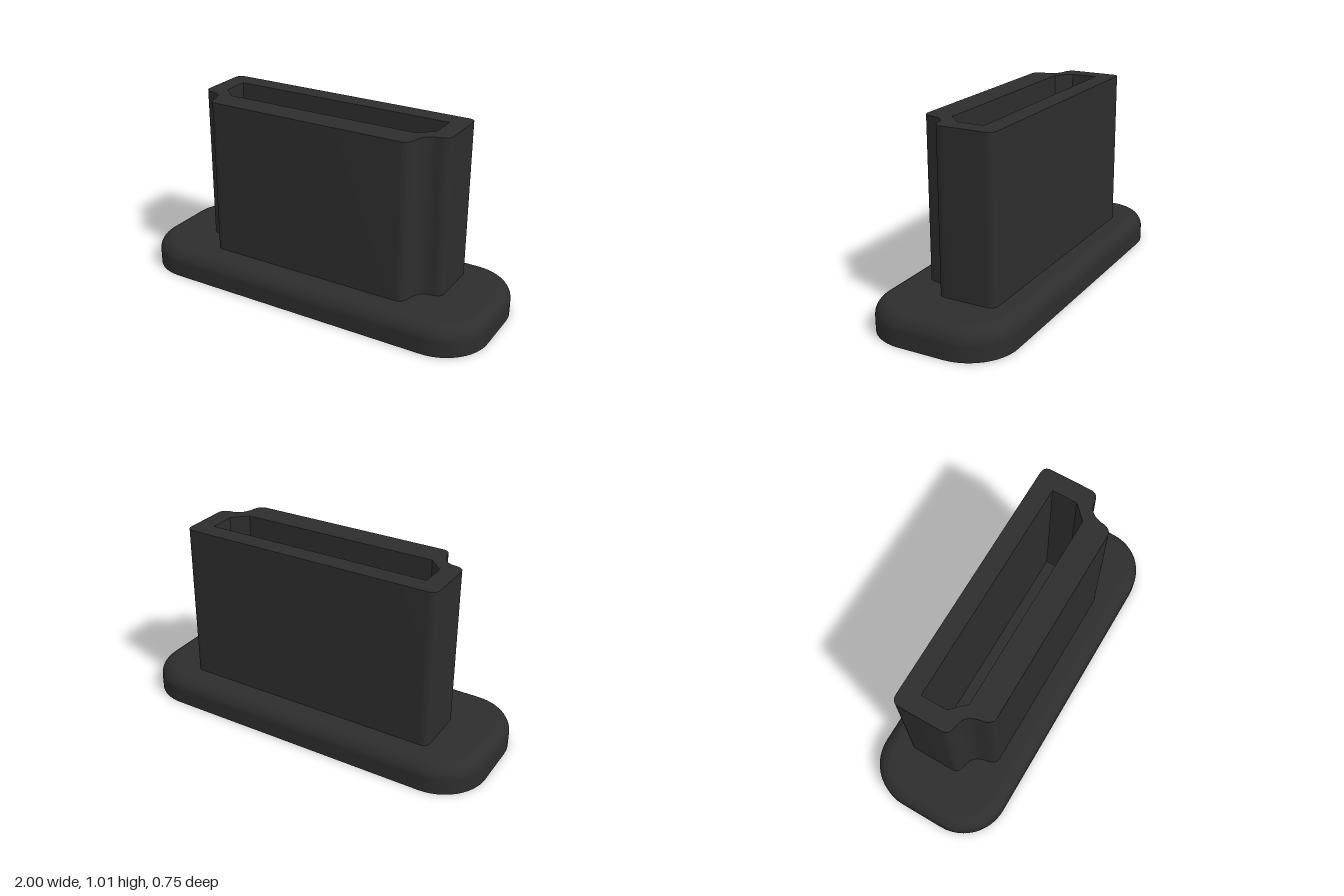
import * as THREE from 'three';
import { toCreasedNormals } from 'three/addons/utils/BufferGeometryUtils.js';

const BASE_TOP = 0.158, TOP = 1.01;

// Rounded slab: flat underside, straight wall, filleted upper rim
function slabGeometry(hx, hz, height, corner, fillet) {
  const pos = [], nor = [], idx = [];
  const steps = 12, count = 4 * (steps + 1);
  const ring = (inset, y, tilt) => {
    const start = pos.length / 3;
    for (let q = 0; q < 4; q++) {
      const cx = (q === 0 || q === 3 ? 1 : -1) * (hx - corner);
      const cz = (q < 2 ? 1 : -1) * (hz - corner);
      for (let s = 0; s <= steps; s++) {
        const t = (q + s / steps) * Math.PI / 2, c = Math.cos(t), n = Math.sin(t);
        pos.push(cx + c * (corner - inset), y, cz + n * (corner - inset));
        nor.push(c * Math.cos(tilt), Math.sin(tilt), n * Math.cos(tilt));
      }
    }
    return start;
  };
  const cap = (start, y, dir) => {
    const centre = pos.length / 3;
    pos.push(0, y, 0);
    nor.push(0, dir, 0);
    for (let j = 0; j < count; j++) {
      const a = start + j, b = start + (j + 1) % count;
      if (dir > 0) idx.push(centre, b, a); else idx.push(centre, a, b);
    }
  };

  let previous = ring(0, 0, 0), current;
  for (let i = 0; i <= 10; i++) {
    const a = i / 10 * Math.PI / 2;
    current = ring(fillet * (1 - Math.cos(a)), height - fillet * (1 - Math.sin(a)), a);
    for (let j = 0; j < count; j++) {
      const k = (j + 1) % count;
      idx.push(previous + j, current + j, previous + k, current + j, current + k, previous + k);
    }
    previous = current;
  }
  cap(current, height, 1);
  cap(ring(0, 0, -Math.PI / 2), 0, -1);

  const g = new THREE.BufferGeometry();
  g.setAttribute('position', new THREE.Float32BufferAttribute(pos, 3));
  g.setAttribute('normal', new THREE.Float32BufferAttribute(nor, 3));
  g.setIndex(idx);
  return g;
}

// Hollow sleeve outline; shape y is model -z
function sleeveGeometry() {
  const s = new THREE.Shape();
  s.moveTo(-0.535, -0.23);
  s.lineTo(0.535, -0.23);
  s.quadraticCurveTo(0.578, -0.23, 0.585, -0.17);
  s.quadraticCurveTo(0.6, -0.09, 0.67, -0.085);
  s.quadraticCurveTo(0.72, -0.08, 0.72, -0.035);
  s.lineTo(0.72, 0.19);
  s.quadraticCurveTo(0.72, 0.234, 0.675, 0.234);
  s.lineTo(-0.675, 0.234);
  s.quadraticCurveTo(-0.72, 0.234, -0.72, 0.19);
  s.lineTo(-0.72, -0.035);
  s.quadraticCurveTo(-0.72, -0.08, -0.67, -0.085);
  s.quadraticCurveTo(-0.6, -0.09, -0.585, -0.17);
  s.quadraticCurveTo(-0.578, -0.23, -0.535, -0.23);

  // Chamfered socket opening
  const hole = [[-0.62, 0.13], [0.62, 0.13], [0.62, -0.01], [0.545, -0.085], [-0.545, -0.085], [-0.62, -0.01]];
  s.holes.push(new THREE.Path(hole.map(([x, y]) => new THREE.Vector2(x, y))));

  const g = new THREE.ExtrudeGeometry(s, { depth: TOP - BASE_TOP, bevelEnabled: false, curveSegments: 10 });
  g.rotateX(-Math.PI / 2);
  g.translate(0, BASE_TOP, 0);
  return toCreasedNormals(g, 0.5);
}

export function createModel() {
  const group = new THREE.Group();
  group.name = 'portCover';
  const rubber = new THREE.MeshStandardMaterial({ color: 0x2d2d2d });
  rubber.name = 'black rubber';

  const base = new THREE.Mesh(slabGeometry(1, 0.375, BASE_TOP, 0.25, 0.077), rubber);
  base.name = 'base';
  const sleeve = new THREE.Mesh(sleeveGeometry(), rubber);
  sleeve.name = 'sleeve';
  group.add(base, sleeve);
  return group;
}
